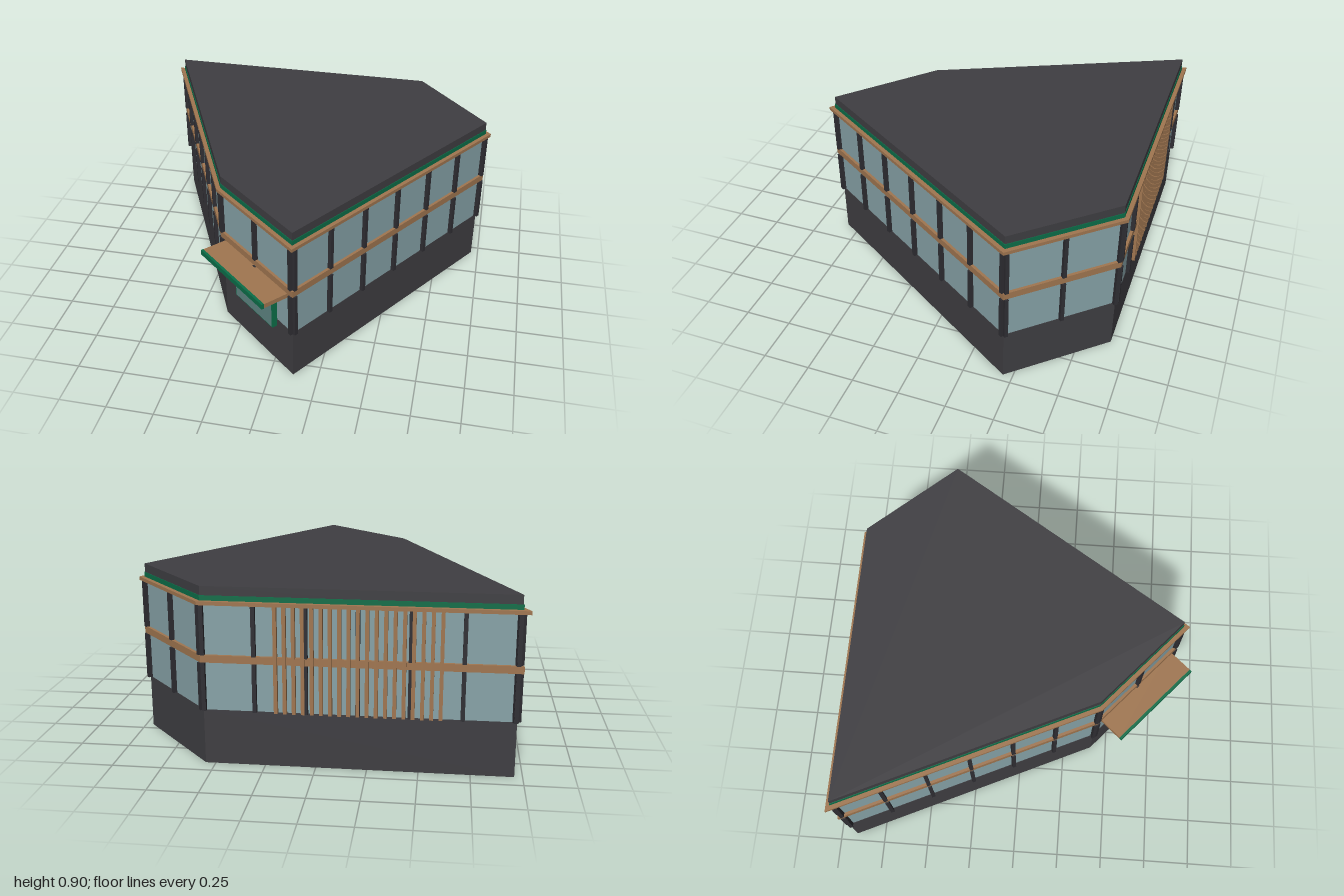
import * as THREE from 'three';

const mat = (name, color) => {
  const m = new THREE.MeshStandardMaterial({ color });
  m.name = name;
  return m;
};

// Plan corners as [x, z], ordered so every wall's outward normal is (-dz, dx)
const PLAN = [[-0.96, -0.91], [-0.35, 0.41], [0.12, 0.83], [0.96, -0.45], [0.55, -0.91]];
const BAYS = [6, 2, 6, 2, 6];

const wallData = (i) => {
  const [ax, az] = PLAN[i], [bx, bz] = PLAN[(i + 1) % PLAN.length];
  const length = Math.hypot(bx - ax, bz - az);
  const dx = (bx - ax) / length, dz = (bz - az) / length;
  return { ax, az, dx, dz, length, nx: -dz, nz: dx };
};

// Plan outline pushed outward by a distance, with mitred corners
const outline = (d) => PLAN.map(([x, z], i) => {
  const a = wallData((i + PLAN.length - 1) % PLAN.length), b = wallData(i);
  const k = d / (1 + a.nx * b.nx + a.nz * b.nz);
  return new THREE.Vector2(x + (a.nx + b.nx) * k, -(z + (a.nz + b.nz) * k));
});

export function createModel() {
  const model = new THREE.Group();
  model.name = 'building';
  const dark = mat('charcoal wall', 0x3f3e42);
  const frame = mat('dark frame', 0x2f2e33);
  const glass = mat('pale glass', 0x87a3a8);
  const doorGlass = mat('door glass', 0x5f8583);
  const wood = mat('wood', 0xa07650);
  const green = mat('green trim', 0x0b6e48);

  // Horizontal layer following the plan; rings get a hole in the middle
  const layer = (name, material, y0, y1, offset, ring = false) => {
    const shape = new THREE.Shape(outline(offset));
    if (ring) shape.holes.push(new THREE.Path(outline(-0.02)));
    const geo = new THREE.ExtrudeGeometry(shape, { depth: y1 - y0, bevelEnabled: false });
    geo.rotateX(-Math.PI / 2);
    const mesh = new THREE.Mesh(geo, material);
    mesh.position.y = y0;
    mesh.name = name;
    model.add(mesh);
  };
  layer('base', dark, 0, 0.28, 0);
  layer('windowBand', glass, 0.28, 0.81, -0.002);
  layer('floorBand', wood, 0.525, 0.562, 0.013, true);
  layer('roofLedge', wood, 0.812, 0.83, 0.025, true);
  layer('greenBand', green, 0.83, 0.855, 0.003, true);
  layer('roof', dark, 0.81, 0.9, 0);

  // Box in wall space: x along the wall, z outward
  const box = (parent, name, material, x0, x1, y0, y1, z0, z1) => {
    const mesh = new THREE.Mesh(new THREE.BoxGeometry(x1 - x0, y1 - y0, z1 - z0), material);
    mesh.position.set((x0 + x1) / 2, (y0 + y1) / 2, (z0 + z1) / 2);
    mesh.name = name;
    parent.add(mesh);
  };

  const walls = PLAN.map((_, i) => {
    const w = wallData(i);
    const group = new THREE.Group();
    group.name = 'wallDetails' + (i + 1);
    group.position.set(w.ax, 0, w.az);
    group.rotation.y = Math.atan2(-w.dz, w.dx);
    model.add(group);

    // Mullions on both floors, with one at each end of the wall
    for (let k = 0; k <= BAYS[i]; k++) {
      const s = 0.006 + (w.length - 0.012) * k / BAYS[i];
      box(group, 'lowerMullion', frame, s - 0.01, s + 0.01, 0.28, 0.522, -0.02, 0.019);
      box(group, 'upperMullion', frame, s - 0.01, s + 0.01, 0.562, 0.812, -0.02, 0.019);
    }
    return group;
  });

  // Entrance door and canopy on the short front wall
  const entry = walls[1];
  box(entry, 'doorFrame', green, 0.15, 0.49, 0.237, 0.49, -0.01, 0.03);
  box(entry, 'doorPane', doorGlass, 0.156, 0.484, 0.243, 0.482, 0.029, 0.032);
  box(entry, 'canopy', wood, 0.033, 0.597, 0.495, 0.52, -0.01, 0.148);
  box(entry, 'canopyEdge', green, 0.033, 0.597, 0.493, 0.522, 0.148, 0.162);

  // Vertical wooden slats across the middle of the back wall
  const slats = 19;
  for (let k = 0; k < slats; k++) {
    const s = 0.36 + 0.79 * k / (slats - 1);
    box(walls[4], 'slat', wood, s - 0.009, s + 0.009, 0.28, 0.812, 0, 0.023);
  }
  return model;
}
